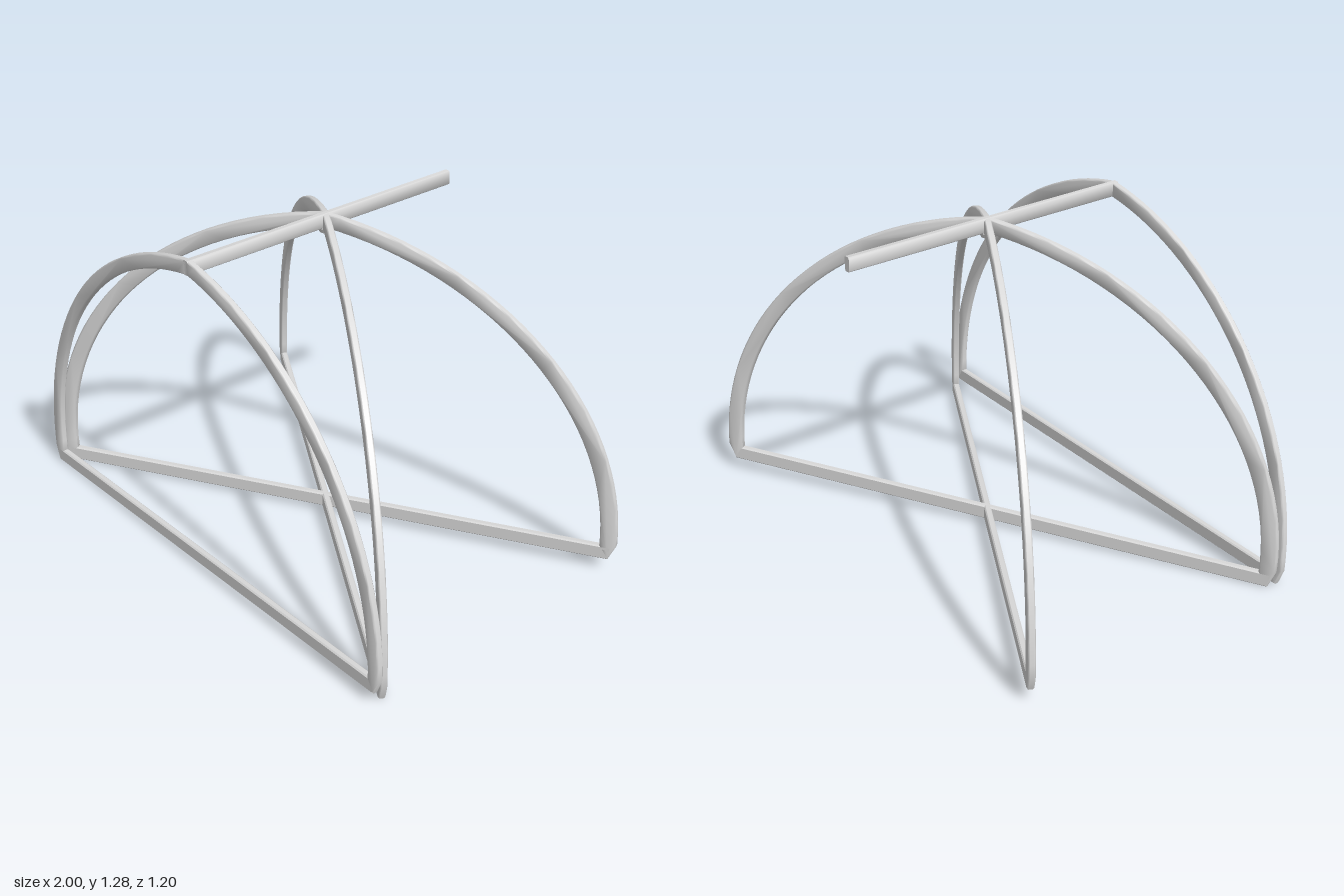
import * as THREE from 'three';
import { toCreasedNormals } from 'three/addons/utils/BufferGeometryUtils.js';

const TOP = 1.28, DEPTH = 0.055, WIDTH = 0.026, RISE = 0.053;

// Extrudes a flat outline into a chamfered bar centred on z = 0
function bar(points, scaleX, crease) {
  const b = 0.005;
  const geo = new THREE.ExtrudeGeometry(new THREE.Shape(points), {
    depth: WIDTH - 2 * b, bevelThickness: b, bevelSize: b, bevelOffset: -b, bevelSegments: 1,
  });
  geo.translate(0, 0, -WIDTH / 2 + b);
  geo.scale(scaleX, 1, 1);
  return toCreasedNormals(geo, crease);
}

// Arc from a foot to the crown, on the side given by sign; inset moves it inwards
function arc(sign, startY, inset, n = 32) {
  const cy = 0.115, h = TOP - cy;
  const cx = (h * h - 1) / 2, r = 1 + cx - inset;
  const a0 = Math.asin((startY - cy) / r), a1 = Math.acos(cx / r);
  return Array.from({ length: n + 1 }, (_, i) => {
    const a = a0 + (a1 - a0) * i / n;
    return new THREE.Vector2(sign * (r * Math.cos(a) - cx), cy + r * Math.sin(a));
  });
}

export function createModel() {
  const model = new THREE.Group();
  const grey = new THREE.MeshStandardMaterial({ color: 0xd8d8d8 });
  grey.name = 'lightGrey';
  const add = (parent, name, geo) => {
    const mesh = new THREE.Mesh(geo, grey);
    mesh.name = name;
    parent.add(mesh);
    return mesh;
  };

  // A frame is a pointed arch over a base bar that climbs towards local +x
  function frame(name, halfSpan, turn, z) {
    const group = new THREE.Group();
    group.name = name;
    for (const [side, sign, footY] of [['low', -1, 0.002], ['high', 1, RISE + 0.002]]) {
      const outer = arc(sign, footY + 0.065, 0);
      const inner = arc(sign, footY + 0.05, DEPTH).reverse();
      const tip = new THREE.Vector2(sign * 0.975, footY);
      add(group, side + 'ArchHalf', bar([tip, ...outer, ...inner], halfSpan, 0.95));
    }
    const base = [[-0.975, 0.002], [0.975, RISE + 0.002], [0.985, RISE + 0.058], [-0.985, 0.058]];
    add(group, 'baseBar', bar(base.map(([x, y]) => new THREE.Vector2(x, y)), halfSpan, 0.5));
    group.rotation.y = turn;
    group.position.z = z;
    model.add(group);
  }

  frame('frontFrame', 1, 0, 0.587);
  frame('diagonalFrameA', 1.143, Math.PI / 6, -0.008);
  frame('diagonalFrameB', 1.143, Math.PI * 5 / 6, -0.008);

  // Ridge beam running front to back over the crown
  const h = DEPTH / 2, w = WIDTH / 2, c = 0.005;
  const section = [[-w + c, -h], [w - c, -h], [w, -h + c], [w, h - c],
    [w - c, h], [-w + c, h], [-w, h - c], [-w, -h + c]];
  const ridge = new THREE.ExtrudeGeometry(
    new THREE.Shape(section.map(([x, y]) => new THREE.Vector2(x, y))),
    { depth: 1.2, bevelEnabled: false });
  ridge.translate(0, TOP - h, -0.6);
  add(model, 'ridgeBeam', toCreasedNormals(ridge, 0.95));

  // Small joint under the crossing
  add(model, 'crownJoint', new THREE.CylinderGeometry(0.03, 0.022, 0.018, 12))
    .position.set(0, 1.216, -0.008);

  return model;
}
